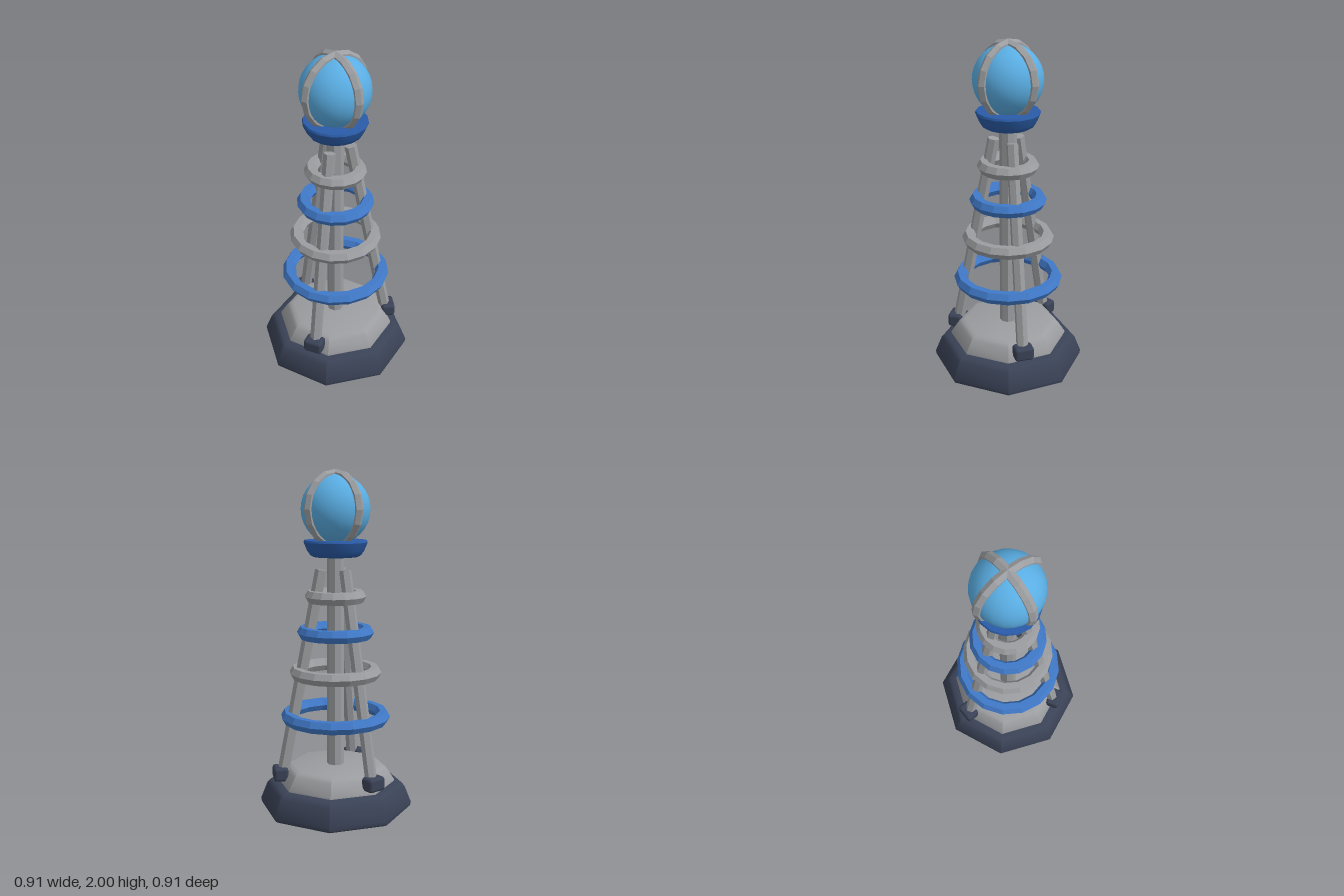
import * as THREE from 'three';
import { RoundedBoxGeometry } from 'three/addons/geometries/RoundedBoxGeometry.js';
import { toCreasedNormals } from 'three/addons/utils/BufferGeometryUtils.js';

const paint = (name, color, flatShading = false) => {
  const m = new THREE.MeshStandardMaterial({ color, flatShading });
  m.name = name;
  return m;
};

export function createModel() {
  const model = new THREE.Group();
  model.name = 'coilTower';
  const slate = paint('darkSlate', 0x3a4256);
  const steel = paint('steelGrey', 0x9b9da0);
  const blue = paint('ringBlue', 0x4079c8);
  const navy = paint('collarBlue', 0x2a5ca8);
  const glass = paint('orbBlue', 0x5aaee4);

  const add = (parent, name, geometry, material, x = 0, y = 0, z = 0) => {
    const mesh = new THREE.Mesh(geometry, material);
    mesh.name = name;
    mesh.position.set(x, y, z);
    parent.add(mesh);
    return mesh;
  };
  const turned = (points, sides, crease) => toCreasedNormals(
    new THREE.LatheGeometry(points.map(([r, y]) => new THREE.Vector2(r, y)), sides), crease);
  const faceted = (geometry) => toCreasedNormals(geometry, 0.1);

  // Octagonal base and deck, with softened rims
  add(model, 'base', turned([[0, 0], [0.43, 0], [0.45, 0.012], [0.455, 0.035], [0.415, 0.135],
    [0.398, 0.155], [0.37, 0.165], [0, 0.165]], 8, 0.6), slate);
  add(model, 'deck', turned([[0.352, 0.155], [0.352, 0.175], [0.312, 0.238], [0.296, 0.257],
    [0.266, 0.268], [0, 0.268]], 8, 0.6), steel);

  // Central column
  add(model, 'column', faceted(new THREE.CylinderGeometry(0.05, 0.05, 1.27, 8)), steel, 0, 0.895, 0);

  // Three leaning legs, each in a rounded foot
  const from = new THREE.Vector3(0, 0.2, 0.323);
  const to = new THREE.Vector3(0, 1.43, 0.085);
  const along = to.clone().sub(from);
  for (const [name, angle] of [['left', Math.PI / 3], ['right', -Math.PI / 3], ['back', Math.PI]]) {
    const leg = new THREE.Group();
    leg.name = name + 'Leg';
    leg.rotation.y = angle;
    const mid = from.clone().add(to).multiplyScalar(0.5);
    const strut = add(leg, 'strut', faceted(new THREE.CylinderGeometry(0.035, 0.035, along.length(), 6)),
      steel, 0, mid.y, mid.z);
    strut.rotation.x = Math.atan2(along.z, along.y);
    add(leg, 'foot', new RoundedBoxGeometry(0.115, 0.082, 0.085, 2, 0.018), slate, 0, 0.227, 0.333);
    model.add(leg);
  }

  // Hoops, shrinking upwards: height, outer radius, material
  const hoops = [[0.563, 0.325, blue], [0.828, 0.272, steel], [1.065, 0.226, blue], [1.275, 0.18, steel]];
  for (const [y, outer, material] of hoops) {
    const hoop = add(model, 'hoop', faceted(new THREE.TorusGeometry(outer - 0.04, 0.04, 6, 16)), material, 0, y, 0);
    hoop.rotation.x = Math.PI / 2;
  }

  // Cup that holds the orb
  add(model, 'collar', turned([[0, 1.505], [0.13, 1.505], [0.148, 1.515], [0.165, 1.54], [0.185, 1.588],
    [0.18, 1.6], [0, 1.6]], 16, 0.6), navy);

  // Orb and its two crossed ribs
  add(model, 'orb', new THREE.SphereGeometry(0.2, 24, 16), glass, 0, 1.775, 0);
  for (const turn of [0, Math.PI / 2]) {
    const rib = add(model, 'orbRib', faceted(new THREE.TorusGeometry(0.195, 0.03, 6, 16)), steel, 0, 1.775, 0);
    rib.rotation.y = turn;
  }
  return model;
}
